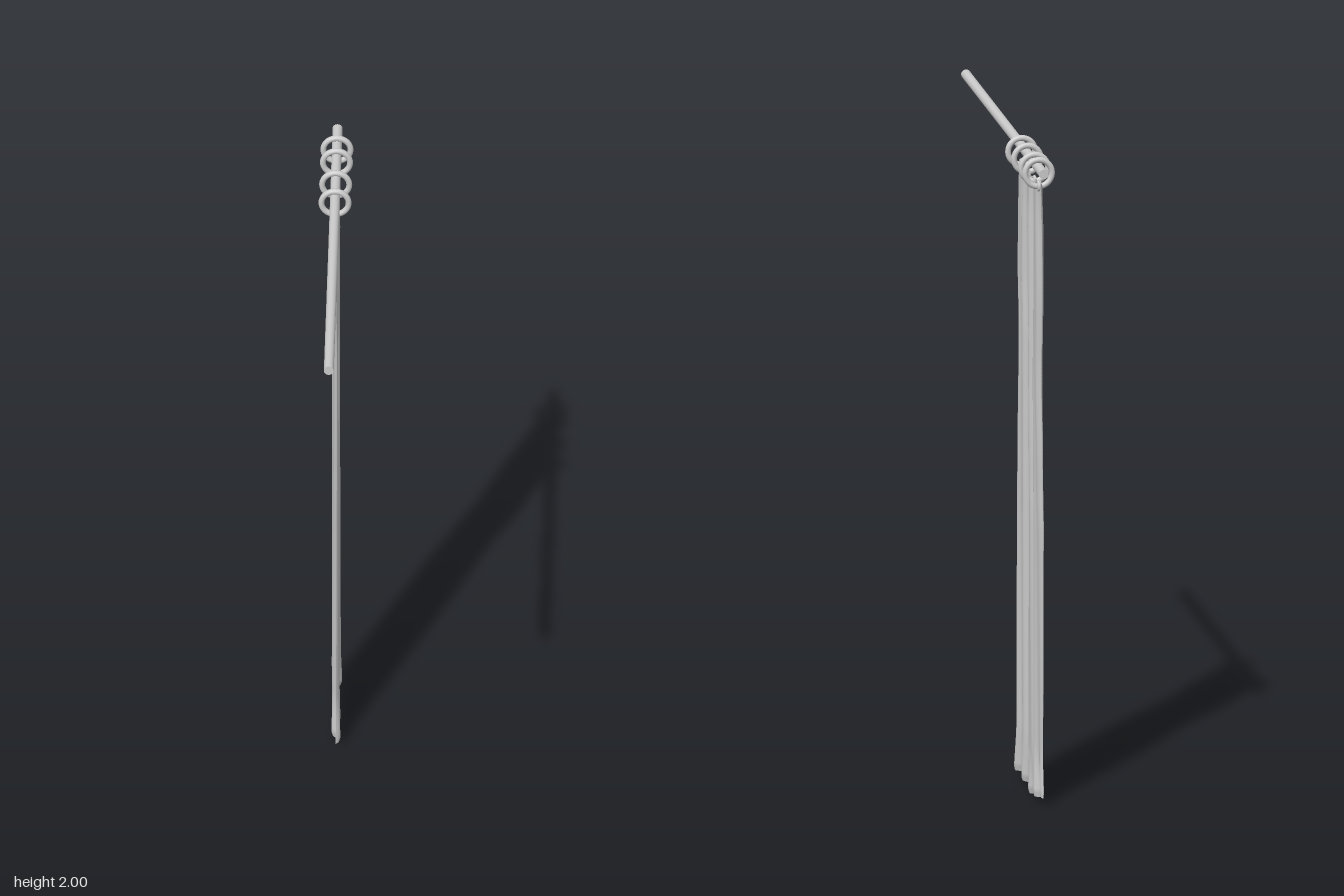
import * as THREE from 'three';
import { ParametricGeometry } from 'three/addons/geometries/ParametricGeometry.js';

const RING_Z = [-0.28, -0.38, -0.5, -0.57];

// Smooth curve through [position, value] pairs, sampled by position
function profile(pairs) {
  return (p) => {
    let i = 0;
    while (i < pairs.length - 2 && p > pairs[i + 1][0]) i++;
    const [a, va] = pairs[i], [b, vb] = pairs[i + 1];
    return va + (vb - va) * THREE.MathUtils.smoothstep(p, a, b);
  };
}

// Side edges of the cloth by height, top and hem lines by width fraction
const nearEdge = profile([[0, -0.23], [0.18, -0.25], [0.85, -0.25], [1.0, -0.257], [1.4, -0.273], [1.6, -0.25], [1.92, -0.256]]);
const farEdge = profile([[0, -0.638], [0.18, -0.62], [0.85, -0.618], [1.0, -0.605], [1.33, -0.585], [1.6, -0.602], [1.92, -0.596]]);
const topLine = profile([[0, 1.918], [0.08, 1.925], [0.22, 1.913], [0.37, 1.929], [0.55, 1.909], [0.72, 1.929], [0.82, 1.908], [0.93, 1.93], [1, 1.922]]);
const hemLine = profile([[0, 0.024], [0.15, 0.026], [0.35, 0.018], [0.55, 0.003], [0.75, 0.016], [0.9, 0.02], [1, 0.027]]);

// Closed thin sheet: u runs round the cross-section, v from hem to top
function clothPoint(u, v, target) {
  const f = 1 - Math.abs(1 - 2 * u);
  const side = u < 0.5 ? 1 : -1;
  const y = THREE.MathUtils.lerp(hemLine(f), topLine(f), v);
  const z = THREE.MathUtils.lerp(nearEdge(y), farEdge(y), f);
  const thick = 0.004 * Math.min(1, f * (1 - f) * 25) * Math.min(1, v * 150, (1 - v) * 150);
  const folds = 0.006 * Math.sin(f * 24 + 0.5) + 0.003 * Math.sin(f * 41 + y * 1.3);
  const pleats = 0.005 * Math.sin(f * 47) * (1 - THREE.MathUtils.smoothstep(y, 0, 0.2));
  const calm = 1 - 0.4 * THREE.MathUtils.smoothstep(y, 1.75, 1.93);
  target.set((folds + pleats) * calm + side * thick, y, z);
}

export function createModel() {
  const group = new THREE.Group();
  const grey = new THREE.MeshStandardMaterial({ color: 0xcccccc });
  const clothGrey = new THREE.MeshStandardMaterial({ color: 0xcccccc, side: THREE.DoubleSide });

  const add = (name, geometry, material = grey) => {
    const mesh = new THREE.Mesh(geometry, material);
    mesh.name = name;
    group.add(mesh);
    return mesh;
  };

  // Horizontal rod along z
  const rod = add('rod', new THREE.CylinderGeometry(0.015, 0.015, 1.32, 24));
  rod.rotation.x = Math.PI / 2;
  rod.position.y = 1.967;

  // Hanging rings with an eyelet in the cloth below each
  const ringGeometry = new THREE.TorusGeometry(0.041, 0.009, 14, 40);
  const eyeletGeometry = new THREE.TorusGeometry(0.0125, 0.005, 10, 24);
  for (const z of RING_Z) {
    add('ring', ringGeometry).position.set(0, 1.95, z);
    const eyelet = add('eyelet', eyeletGeometry);
    eyelet.rotation.y = Math.PI / 2;
    eyelet.position.set(0, 1.91, z);
  }

  // Draped cloth
  add('curtain', new ParametricGeometry(clothPoint, 160, 150), clothGrey);
  return group;
}
